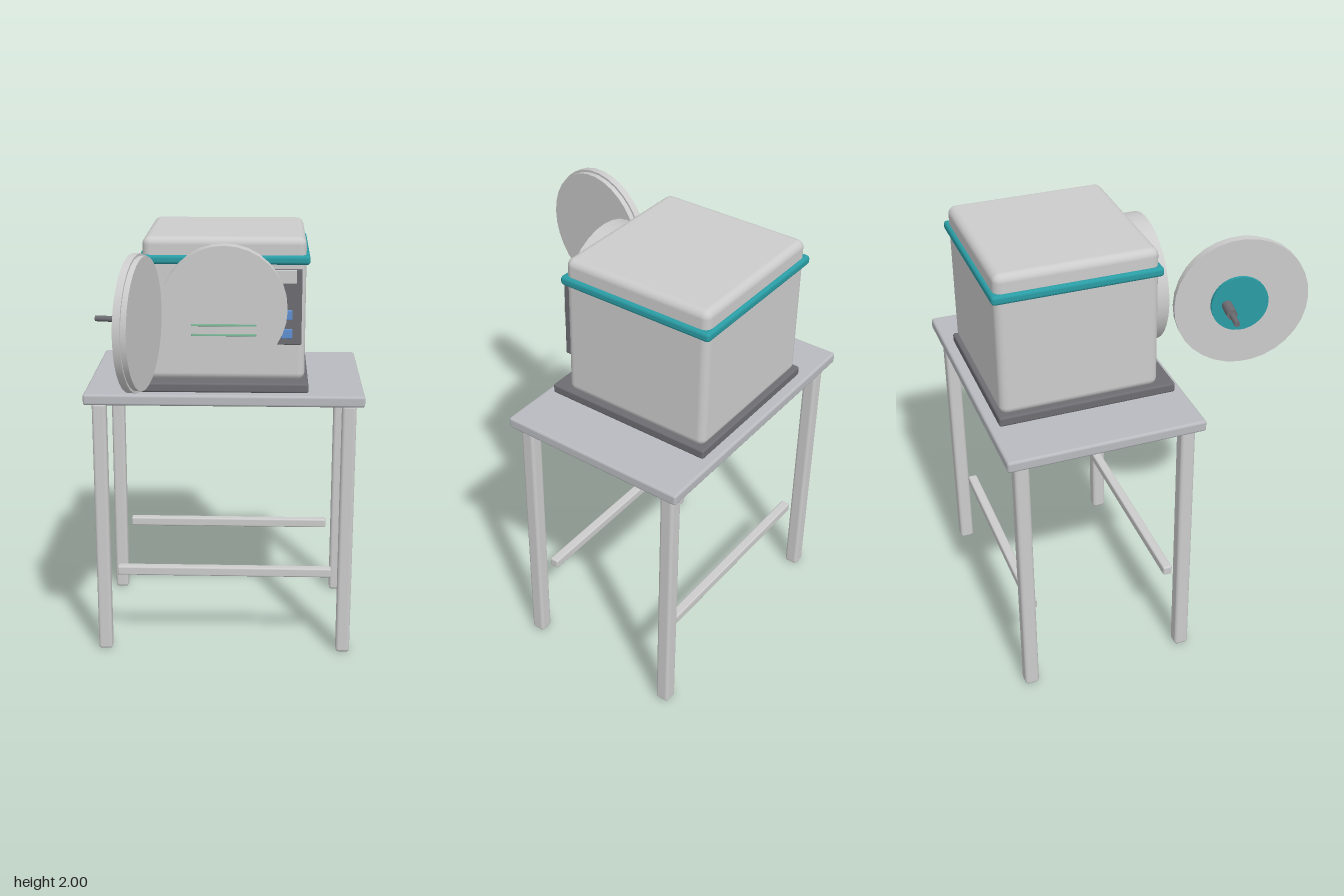
import * as THREE from 'three';
import { RoundedBoxGeometry } from 'three/addons/geometries/RoundedBoxGeometry.js';

const mat = (color) => new THREE.MeshStandardMaterial({ color });
const GREY = mat(0xcccccc);
const TOP = mat(0xb8babf);
const DARK = mat(0x6c6c72);
const TEAL = mat(0x2a9ca4);
const WHITE = mat(0xe8e8e8);
const BLUE = mat(0x5f8fd0);
const GREEN = mat(0x7fb89a);

// Rounded box given by its [min, max] range on each axis
function slab(parent, name, [x0, x1], [y0, y1], [z0, z1], radius, material) {
  const geo = new RoundedBoxGeometry(x1 - x0, y1 - y0, z1 - z0, 3, radius);
  const mesh = new THREE.Mesh(geo, material);
  mesh.position.set((x0 + x1) / 2, (y0 + y1) / 2, (z0 + z1) / 2);
  mesh.name = name;
  parent.add(mesh);
  return mesh;
}

// Cylinder lying along x between x0 and x1
function discX(parent, name, radius, x0, x1, z, material, sides = 32) {
  const geo = new THREE.CylinderGeometry(radius, radius, x1 - x0, sides);
  geo.rotateZ(Math.PI / 2);
  const mesh = new THREE.Mesh(geo, material);
  mesh.position.set((x0 + x1) / 2, 0, z);
  mesh.name = name;
  parent.add(mesh);
  return mesh;
}

function createTable() {
  const table = new THREE.Group();
  table.name = 'table';
  slab(table, 'tableTop', [-0.645, 0.645], [1.245, 1.297], [-0.725, 0.16], 0.012, TOP);
  // Four legs
  for (const x of [-0.577, 0.577]) {
    for (const z of [-0.655, 0.093]) {
      slab(table, 'leg', [x - 0.033, x + 0.033], [0, 1.245], [z - 0.033, z + 0.033], 0.015, GREY);
    }
  }
  // Front and back stretchers
  for (const z of [-0.612, 0.053]) {
    slab(table, 'stretcher', [-0.515, 0.515], [0.37, 0.415], [z - 0.022, z + 0.022], 0.008, GREY);
  }
  return table;
}

function createCabinet() {
  const cabinet = new THREE.Group();
  cabinet.name = 'cabinet';
  slab(cabinet, 'base', [-0.387, 0.387], [1.3, 1.345], [-0.682, 0.12], 0.01, DARK);
  slab(cabinet, 'body', [-0.37, 0.37], [1.34, 2], [-0.668, 0.046], 0.035, GREY);
  slab(cabinet, 'trimBand', [-0.387, 0.387], [1.878, 1.92], [-0.684, 0.06], 0.015, TEAL);

  // Round chamber mouth with two thin shelf edges
  const mouth = new THREE.Mesh(new THREE.CylinderGeometry(0.287, 0.287, 0.105, 32), GREY);
  mouth.geometry.rotateX(Math.PI / 2);
  mouth.position.set(0, 1.687, 0.0725);
  mouth.name = 'chamberMouth';
  cabinet.add(mouth);
  for (const y of [1.572, 1.617]) {
    slab(cabinet, 'shelfEdge', [-0.147, 0.147], [y - 0.005, y + 0.005], [0.115, 0.129], 0.002, GREEN);
  }

  // Control panel with display and buttons
  slab(cabinet, 'controlPanel', [0.2, 0.352], [1.515, 1.86], [0.03, 0.068], 0.005, DARK);
  slab(cabinet, 'display', [0.22, 0.327], [1.797, 1.858], [0.06, 0.075], 0.003, WHITE);
  for (const y of [1.568, 1.654]) {
    slab(cabinet, 'button', [0.26, 0.31], [y - 0.022, y + 0.022], [0.06, 0.08], 0.004, BLUE);
  }
  return cabinet;
}

function createDoor() {
  // Swung open; the outside of the door faces local -x
  const door = new THREE.Group();
  door.name = 'door';
  discX(door, 'doorShell', 0.298, -0.028, 0.004, 0, GREY);
  discX(door, 'doorLining', 0.288, 0.004, 0.028, 0, GREY);
  discX(door, 'latchPlate', 0.127, -0.044, -0.027, -0.012, TEAL);
  discX(door, 'handleHub', 0.023, -0.132, -0.04, -0.07, DARK, 20);
  discX(door, 'handleShaft', 0.013, -0.212, -0.13, -0.07, DARK, 16);
  door.position.set(-0.354, 1.687, 0.428);
  door.rotation.y = -THREE.MathUtils.degToRad(10);
  return door;
}

export function createModel() {
  const model = new THREE.Group();
  model.name = 'chamberOnTable';
  model.add(createTable(), createCabinet(), createDoor());
  return model;
}
